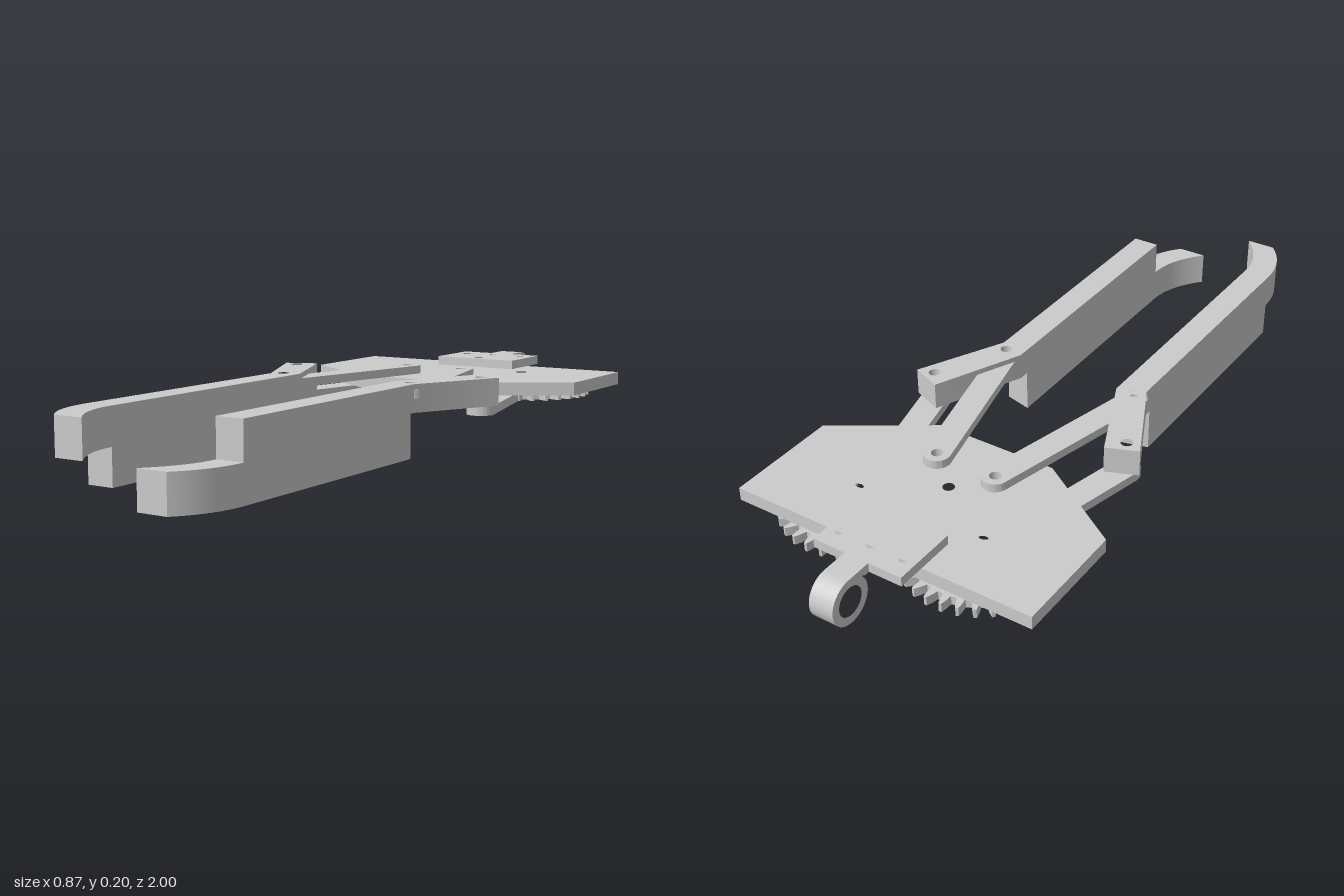
import * as THREE from 'three';
import { toCreasedNormals } from 'three/addons/utils/BufferGeometryUtils.js';

const material = new THREE.MeshStandardMaterial({ color: 0xcccccc });

function addMesh(parent, name, geometry) {
  const mesh = new THREE.Mesh(toCreasedNormals(geometry, 0.5), material);
  mesh.name = name;
  parent.add(mesh);
  return mesh;
}

// Plan outlines are drawn as (x, -z) and raised from y0 to y1
function slab(parent, name, shape, y0, y1) {
  const g = new THREE.ExtrudeGeometry(shape, { depth: y1 - y0, bevelEnabled: false, curveSegments: 12 });
  g.rotateX(-Math.PI / 2).translate(0, y0, 0);
  return addMesh(parent, name, g);
}

const outline = pts => new THREE.Shape(pts.map(([x, z]) => new THREE.Vector2(x, -z)));

function drill(shape, x, z, r = 0.016) {
  shape.holes.push(new THREE.Path().absarc(x, -z, r, 0, Math.PI * 2, true));
  return shape;
}

// Capsule outline between two plan points
function capsule(Type, x0, z0, x1, z1, r) {
  const a = Math.atan2(z0 - z1, x1 - x0), h = Math.PI / 2;
  const path = new Type();
  path.absarc(x1, -z1, r, a - h, a + h, false);
  path.absarc(x0, -z0, r, a + h, a + 3 * h, false);
  path.closePath();
  return path;
}

function gearShape(cx, cz, s) {
  const teeth = 30, pts = [];
  const step = Math.PI * 2 / teeth;
  const phase = s > 0 ? step / 2 : 0;
  for (let i = 0; i < teeth; i++) {
    for (const [f, r] of [[-0.3, 0.17], [-0.2, 0.188], [-0.09, 0.203], [0.09, 0.203], [0.2, 0.188], [0.3, 0.17]]) {
      const a = (i + f) * step + phase;
      pts.push([cx + r * Math.cos(a), cz + r * Math.sin(a)]);
    }
  }
  const shape = drill(outline(pts), cx, cz);
  // Radial lightening slots
  for (let i = 0; i < 6; i++) {
    const a = i * Math.PI / 3, c = Math.cos(a), d = Math.sin(a);
    shape.holes.push(capsule(THREE.Path, cx + 0.065 * c, cz + 0.065 * d, cx + 0.118 * c, cz + 0.118 * d, 0.018));
  }
  return shape;
}

// Straight finger grip with either a square end or an inward-curving tip
function gripShape(s, backOuter, backInner, curved) {
  const shape = new THREE.Shape();
  shape.moveTo(s * 0.155, -backInner);
  shape.lineTo(s * 0.155, -0.82);
  if (curved) {
    shape.quadraticCurveTo(s * 0.155, -0.915, s * 0.078, -1);
    shape.lineTo(s * 0.162, -1);
    shape.quadraticCurveTo(s * 0.232, -0.923, s * 0.232, -0.82);
  } else {
    shape.lineTo(s * 0.232, -0.82);
  }
  shape.lineTo(s * 0.232, -backOuter);
  shape.closePath();
  return shape;
}

export function createModel() {
  const model = new THREE.Group();
  model.name = 'gripper';

  // Base plate
  const plate = outline([[-0.437, -0.79], [0.437, -0.79], [0.437, -0.47], [0.175, -0.3], [-0.175, -0.3], [-0.437, -0.47]]);
  for (const [x, z] of [[-0.19, -0.63], [0.19, -0.63], [0, -0.505], [-0.09, -0.43], [0.09, -0.43], [0, -0.705]]) {
    drill(plate, x, z);
  }
  slab(model, 'basePlate', plate, 0.12, 0.157);

  // Rear mounting bracket and its eyelet
  const bracket = new THREE.Group();
  bracket.name = 'bracket';
  model.add(bracket);
  const mount = outline([[-0.13, -0.865], [0.13, -0.865], [0.13, -0.685], [-0.13, -0.685]]);
  for (const [x, z] of [[0, -0.81], [-0.095, -0.81], [0.095, -0.81], [0, -0.71]]) drill(mount, x, z, 0.012);
  slab(bracket, 'bracketPlate', mount, 0.157, 0.183);

  const eye = new THREE.Shape();
  eye.moveTo(0.865, 0.183);
  eye.lineTo(0.937, 0.183);
  eye.absarc(0.937, 0.12, 0.063, Math.PI / 2, -Math.PI * 1.25, true);
  eye.lineTo(0.88, 0.157);
  eye.lineTo(0.865, 0.157);
  eye.closePath();
  eye.holes.push(new THREE.Path().absarc(0.937, 0.12, 0.04, 0, Math.PI * 2, true));
  const eyeGeo = new THREE.ExtrudeGeometry(eye, { depth: 0.07, bevelEnabled: false, curveSegments: 32 });
  eyeGeo.rotateY(Math.PI / 2).translate(-0.035, 0, 0);
  addMesh(bracket, 'eyelet', eyeGeo);

  for (const s of [1, -1]) {
    const side = new THREE.Group();
    side.name = s > 0 ? 'leftJaw' : 'rightJaw';
    model.add(side);

    // Gear with its driving arm
    slab(side, 'gear', gearShape(s * 0.19, -0.63, s), 0.095, 0.12);
    const arm = capsule(THREE.Shape, s * 0.23, -0.457, s * 0.305, -0.15, 0.038);
    slab(side, 'driveArm', drill(arm, s * 0.305, -0.15), 0.095, 0.12);

    // Upper parallel link
    const link = capsule(THREE.Shape, s * 0.09, -0.43, s * 0.207, 0.055, 0.037);
    drill(drill(link, s * 0.09, -0.43), s * 0.207, 0.055);
    slab(side, 'parallelLink', link, 0.157, 0.181);

    // Angled finger root
    const root = outline([[0.353, -0.165], [0.267, -0.2], [0.155, 0.05], [0.155, 0.1], [0.232, 0.1], [0.232, 0.08]]
      .map(([x, z]) => [s * x, z]));
    drill(drill(root, s * 0.305, -0.15), s * 0.207, 0.055);
    slab(side, 'fingerRoot', root, 0.12, 0.196);

    // Finger halves: the curved tips sit at different heights so they can overlap
    slab(side, 'upperGrip', gripShape(s, 0.1, 0.1, s < 0), 0.098, 0.196);
    slab(side, 'lowerGrip', gripShape(s, 0.1, 0.08, s > 0), 0, 0.098);
    slab(side, 'gripHeel', outline([[0.155, 0.08], [0.232, 0.1], [0.155, 0.1]].map(([x, z]) => [s * x, z])), 0.098, 0.12);
  }
  return model;
}
